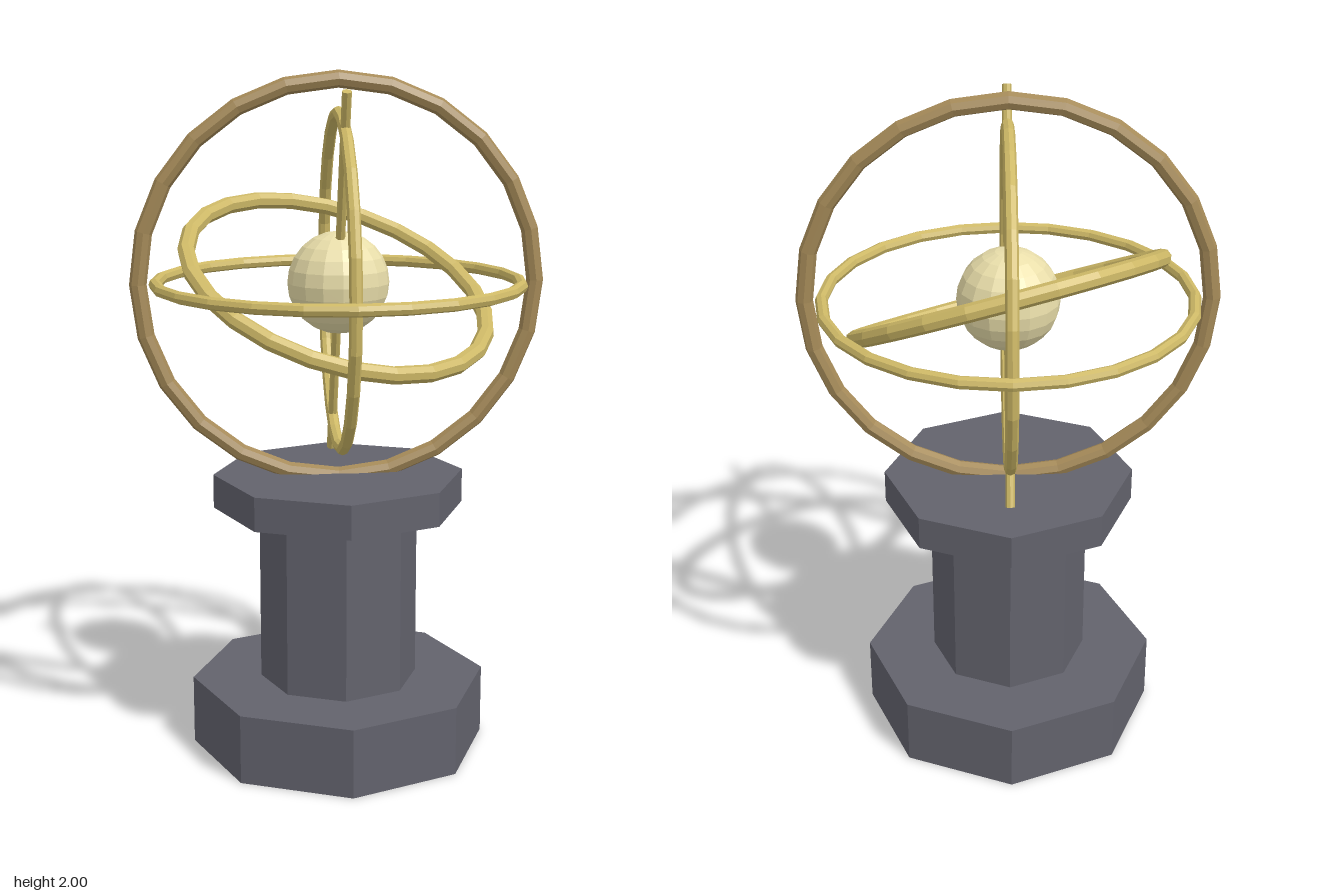
import * as THREE from 'three';

const CENTER_Y = 1.4; // middle of the sphere and rings
const AXIS_TILT = 0.41;

const paint = (color) => new THREE.MeshStandardMaterial({ color, flatShading: true });

export function createModel() {
  const model = new THREE.Group();
  model.name = 'armillarySphere';

  const stone = paint(0x62626c);
  const bronze = paint(0xa58a58);
  const brass = paint(0xcdb866);
  const ivory = paint(0xe9deaa);

  const add = (parent, name, geometry, material) => {
    const mesh = new THREE.Mesh(geometry, material);
    mesh.name = name;
    parent.add(mesh);
    return mesh;
  };

  // Octagonal pedestal: name, radius, bottom, top
  const pedestal = new THREE.Group();
  pedestal.name = 'pedestal';
  model.add(pedestal);
  for (const [name, radius, bottom, top] of [
    ['plinth', 0.44, 0, 0.205],
    ['column', 0.235, 0.205, 0.735],
    ['capital', 0.37, 0.735, 0.835],
  ]) {
    const slab = new THREE.CylinderGeometry(radius, radius, top - bottom, 8);
    add(pedestal, name, slab, stone).position.y = (bottom + top) / 2;
  }

  // Everything held above the pedestal
  const sphere = new THREE.Group();
  sphere.name = 'ringAssembly';
  sphere.position.y = CENTER_Y;
  model.add(sphere);

  // Rings: name, radius, tube radius, x turn, y turn, material
  for (const [name, radius, tube, rx, ry, material] of [
    ['meridianRing', 0.575, 0.025, 0, 0, bronze],
    ['horizonRing', 0.527, 0.018, Math.PI / 2, 0, brass],
    ['colureRing', 0.482, 0.018, 0, Math.PI / 2, brass],
    ['eclipticRing', 0.45, 0.025, Math.PI / 2 + AXIS_TILT, -0.25, brass],
  ]) {
    const ring = new THREE.TorusGeometry(radius, tube, 8, 24);
    add(sphere, name, ring, material).rotation.set(rx, ry, 0);
  }

  // Globe on its tilted axis
  add(sphere, 'globe', new THREE.SphereGeometry(0.148, 16, 12), ivory);
  const rod = new THREE.CylinderGeometry(0.0135, 0.0135, 1.19, 8);
  add(sphere, 'axisRod', rod, brass).rotation.x = AXIS_TILT;

  return model;
}
